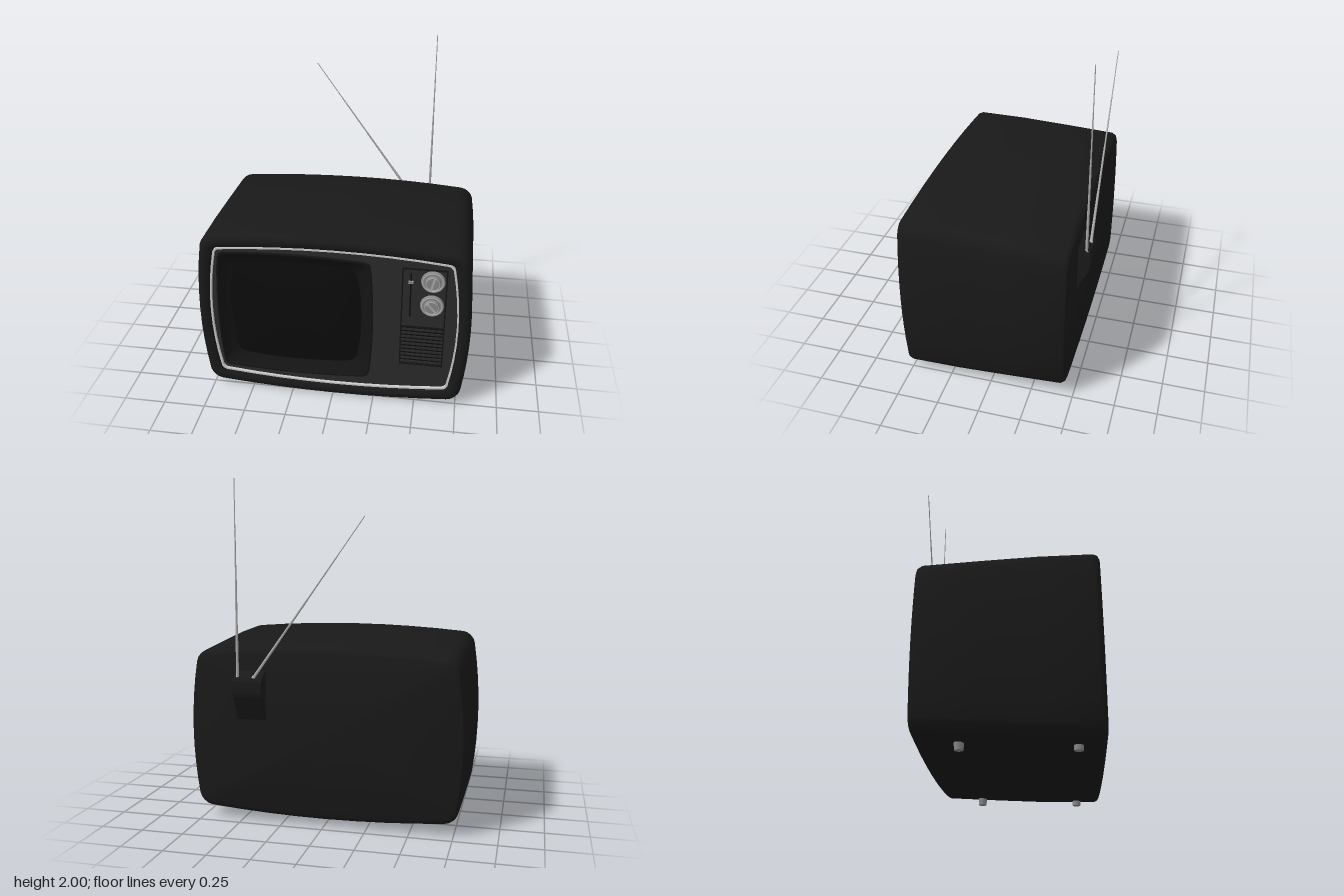
import * as THREE from 'three';
import { toCreasedNormals } from 'three/addons/utils/BufferGeometryUtils.js';

const mat = (color, side = THREE.FrontSide) => new THREE.MeshStandardMaterial({ color, side });
const CASE = mat(0x191919), PANEL = mat(0x2a2a2a), DARK = mat(0x141414), GLASS = mat(0x0c0c0c);
const METAL = mat(0xaaaaaa), CHROME = mat(0xd8d8d8), KNOB = mat(0x888888);

// Rounded rectangle whose four sides bow outwards, counter-clockwise seen from +z
function outline(cx, cy, hw, hh, r, bowX, bowY, perSide = 8, perCorner = 4) {
  const raw = [];
  const corners = [[1, 1], [-1, 1], [-1, -1], [1, -1]];
  corners.forEach(([sx, sy], k) => {
    for (let i = 0; i <= perCorner; i++) {
      const a = (k + i / perCorner) * Math.PI / 2;
      raw.push([sx * (hw - r) + r * Math.cos(a), sy * (hh - r) + r * Math.sin(a)]);
    }
    const [nx, ny] = corners[(k + 1) % 4];
    const a = (k + 1) * Math.PI / 2;
    const from = raw[raw.length - 1];
    const to = [nx * (hw - r) + r * Math.cos(a), ny * (hh - r) + r * Math.sin(a)];
    for (let i = 1; i < perSide; i++) {
      const t = i / perSide;
      raw.push([from[0] + (to[0] - from[0]) * t, from[1] + (to[1] - from[1]) * t]);
    }
  });
  return raw.map(([x, y]) => new THREE.Vector2(
    cx + x * (1 + bowX / hw * (1 - (y / hh) ** 2)),
    cy + y * (1 + bowY / hh * (1 - (x / hw) ** 2))));
}

// Skin through sections { pts, z }, with optional flat ends
function loft(sections, capStart = false, capEnd = false, crease = 0.7) {
  const pos = [];
  const n = sections[0].pts.length;
  const put = (s, j) => pos.push(s.pts[j % n].x, s.pts[j % n].y, s.z);
  const centre = (s) => {
    const c = s.pts.reduce((sum, p) => sum.add(p), new THREE.Vector2()).divideScalar(n);
    pos.push(c.x, c.y, s.z);
  };
  for (let i = 0; i < sections.length - 1; i++) {
    const a = sections[i], b = sections[i + 1];
    for (let j = 0; j < n; j++) {
      put(a, j); put(a, j + 1); put(b, j + 1);
      put(a, j); put(b, j + 1); put(b, j);
    }
  }
  const first = sections[0], last = sections[sections.length - 1];
  for (let j = 0; j < n; j++) {
    if (capStart) { centre(first); put(first, j + 1); put(first, j); }
    if (capEnd) { centre(last); put(last, j); put(last, j + 1); }
  }
  const g = new THREE.BufferGeometry();
  g.setAttribute('position', new THREE.Float32BufferAttribute(pos, 3));
  return toCreasedNormals(g, crease);
}

const CY = 0.548, PANEL_Z = 0.497;

// Cabinet outline, drawn in by an inset and lowered by a taper
const cabinet = (inset, taper = 0) => outline(0, CY, 0.765 - inset, 0.505 - inset - taper,
  Math.max(0.065 - inset * 0.5, 0.025), 0.045, 0.038);

// Picture tube outline: t = 0 at the outer frame, 1 at the glass edge
const tube = (t, s = 1) => outline(-0.228, 0.55, (0.448 - 0.083 * t) * s, (0.4 - 0.08 * t) * s,
  (0.035 + 0.02 * t) * s, (0.022 + 0.008 * t) * s, (0.02 + 0.005 * t) * s);

export function createModel() {
  const model = new THREE.Group();
  const add = (name, geometry, material, x = 0, y = 0, z = 0, parent = model) => {
    const m = new THREE.Mesh(geometry, material);
    m.name = name;
    m.position.set(x, y, z);
    parent.add(m);
    return m;
  };
  const box = (name, w, h, d, material, x, y, z, parent) =>
    add(name, new THREE.BoxGeometry(w, h, d), material, x, y, z, parent);

  // Cabinet: back, sides, rounded front rim and the step down to the panel
  const shell = [
    [-0.457, 0.03, 0.04], [-0.449, 0.011, 0.04], [-0.425, 0, 0.038], [-0.1, 0, 0.019], [0.2, 0, 0.004],
    [0.495, 0, 0], [0.517, 0.008, 0], [0.528, 0.025, 0], [0.528, 0.048, 0], [0.518, 0.066, 0], [0.49, 0.072, 0],
  ].map(([z, inset, taper]) => ({ z, pts: cabinet(inset, taper) }));
  add('cabinet', loft(shell, true), CASE);

  // Bright trim line around the panel
  add('frontTrim', loft([[0.072, 0.49], [0.072, 0.513], [0.082, 0.513], [0.082, 0.49]]
    .map(([inset, z]) => ({ z, pts: cabinet(inset) }))), CHROME);

  // Front panel with an opening for the picture tube
  const face = new THREE.Shape(cabinet(0.07));
  face.holes.push(new THREE.Path(tube(0.1)));
  add('frontPanel', new THREE.ShapeGeometry(face), PANEL, 0, 0, PANEL_Z);

  // Screen frame sloping in to a domed glass
  add('screenFrame', loft([[0, 0.495], [0.02, 0.507], [0.14, 0.507], [0.3, 0.492], [1, 0.46]]
    .map(([t, z]) => ({ z, pts: tube(t) }))), DARK);
  add('screenGlass', loft([1, 0.85, 0.65, 0.4, 0.15]
    .map((s) => ({ z: 0.46 + 0.03 * (1 - s * s), pts: tube(1, s) })), false, true), GLASS);

  // Control plate: raised border around the knobs and the speaker grille
  const controls = new THREE.Group();
  controls.name = 'controls';
  model.add(controls);
  box('controlPlate', 0.25, 0.66, 0.004, PANEL, 0.53, 0.605, PANEL_Z, controls);
  for (const x of [0.405, 0.655]) box('plateSideBorder', 0.008, 0.668, 0.012, DARK, x, 0.605, PANEL_Z, controls);
  for (const y of [0.275, 0.545, 0.935]) box('plateCrossBorder', 0.25, 0.008, 0.012, DARK, 0.53, y, PANEL_Z, controls);
  for (let i = 0; i < 10; i++) box('grilleSlat', 0.242, 0.013, 0.012, PANEL, 0.53, 0.297 + i * 0.0255, 0.5, controls);
  box('grilleBacking', 0.242, 0.255, 0.002, GLASS, 0.53, 0.41, PANEL_Z + 0.003, controls);

  // Volume slider
  box('sliderSlot', 0.008, 0.29, 0.004, GLASS, 0.453, 0.76, PANEL_Z + 0.002, controls);
  box('sliderHandle', 0.03, 0.014, 0.016, KNOB, 0.453, 0.85, 0.505, controls);

  // Tuning knobs: wide dial, fluted ring, cap and grip bar
  const disc = (r0, r1, d, sides = 32) => new THREE.CylinderGeometry(r0, r1, d, sides).rotateX(Math.PI / 2);
  [[0.86, -0.25], [0.7, 0.75]].forEach(([y, turn]) => {
    const knob = new THREE.Group();
    knob.name = 'tuningKnob';
    knob.position.set(0.578, y, PANEL_Z);
    knob.rotation.z = turn;
    controls.add(knob);
    add('dial', disc(0.066, 0.07, 0.014), KNOB, 0, 0, 0.007, knob);
    add('dialRing', new THREE.TorusGeometry(0.058, 0.005, 6, 32), METAL, 0, 0, 0.014, knob);
    add('knobBody', disc(0.042, 0.045, 0.02), KNOB, 0, 0, 0.022, knob);
    add('knobRim', new THREE.TorusGeometry(0.039, 0.003, 6, 32), METAL, 0, 0, 0.032, knob);
    box('gripBar', 0.012, 0.072, 0.014, METAL, 0, 0, 0.031, knob);
  });

  // Feet
  for (const x of [-0.61, 0.655]) {
    for (const z of [0.385, -0.215]) {
      add('foot', new THREE.CylinderGeometry(0.028, 0.024, 0.06, 16), KNOB, x, z > 0 ? 0.036 : 0.048, z);
    }
  }

  // Antenna bracket: side profile (depth behind the cabinet, height) swept across x
  const profile = new THREE.Shape([[0.44, 0.62], [0.457, 0.62], [0.525, 0.765], [0.531, 0.79], [0.531, 0.855],
    [0.52, 0.873], [0.457, 0.91], [0.44, 0.91]].map(([x, y]) => new THREE.Vector2(x, y)));
  const bracket = new THREE.ExtrudeGeometry(profile, {
    depth: 0.166, bevelThickness: 0.006, bevelSize: 0.004, bevelOffset: -0.004, bevelSegments: 2,
  });
  bracket.rotateY(Math.PI / 2);
  add('antennaBracket', bracket, CASE, 0.348, 0, 0);

  // Telescopic rods: each section thinner than the last
  const up = new THREE.Vector3(0, 1, 0);
  const rod = (name, from, to) => {
    const g = new THREE.Group();
    g.name = name;
    const start = new THREE.Vector3(...from), dir = new THREE.Vector3(...to).sub(start);
    const step = dir.length() / 4;
    g.position.copy(start);
    g.quaternion.setFromUnitVectors(up, dir.normalize());
    [0.0085, 0.0065, 0.0045, 0.003].forEach((r, i) =>
      add('rodSection', new THREE.CylinderGeometry(r * 0.85, r, step, 10), METAL, 0, step * (i + 0.5), 0, g));
    add('pivot', new THREE.SphereGeometry(0.012, 12, 8), METAL, 0, 0, 0, g);
    model.add(g);
  };
  rod('uprightAntenna', [0.495, 0.875, -0.5], [0.495, 2, -0.5]);
  rod('slantedAntenna', [0.395, 0.88, -0.506], [-0.25, 1.79, -0.5]);

  return model;
}
